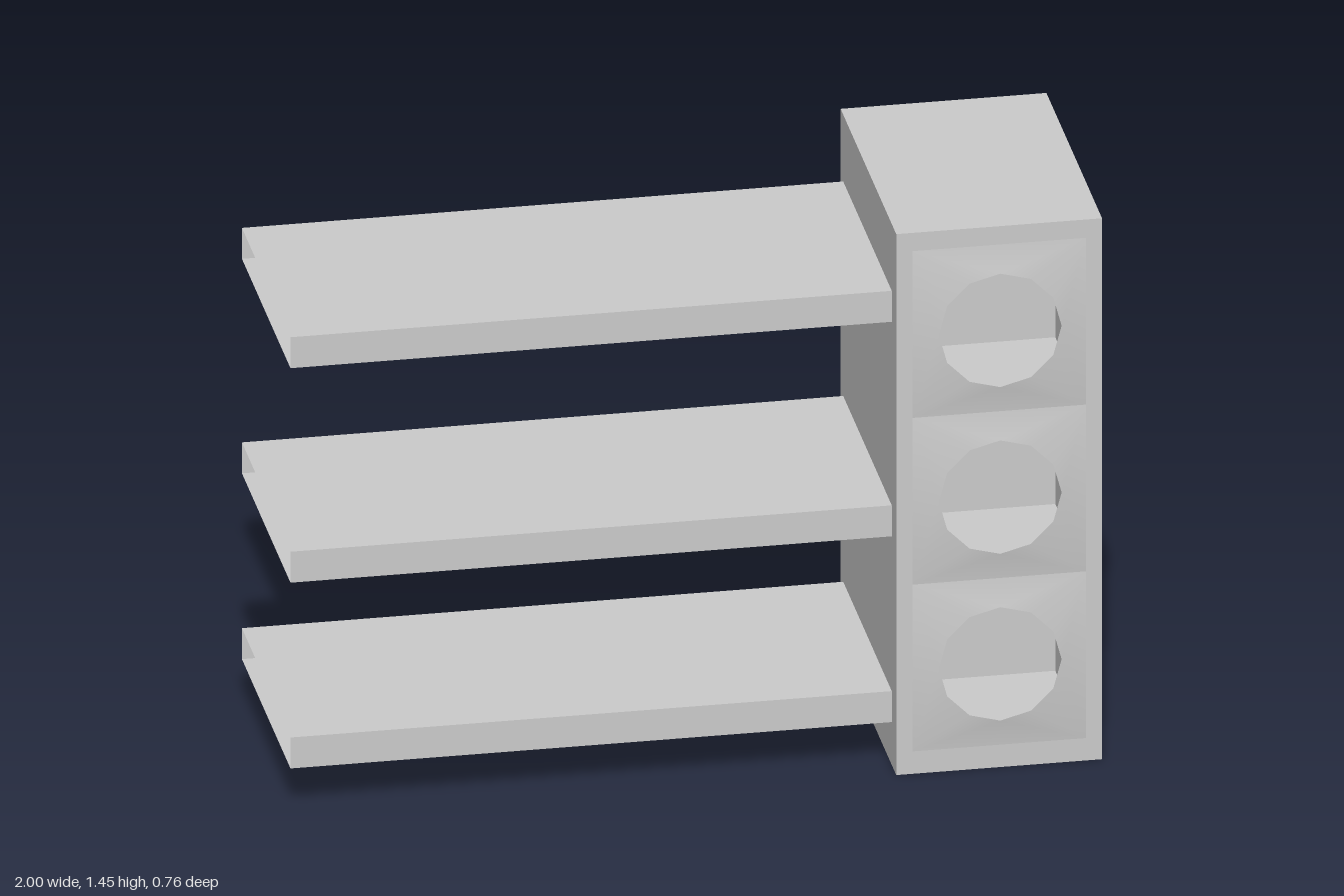
import * as THREE from 'three';

const grey = (side = THREE.FrontSide, flat = true) =>
  new THREE.MeshStandardMaterial({ color: 0xcccccc, side, flatShading: flat });

// Box given by its limits; openFace (0..5 = +x -x +y -y +z -z) is left out.
function boxBetween(name, [x0, y0, z0], [x1, y1, z1], side, openFace = -1) {
  const geo = new THREE.BoxGeometry(x1 - x0, y1 - y0, z1 - z0);
  if (openFace >= 0) {
    const kept = Array.from(geo.index.array).filter((_, i) => Math.floor(i / 6) !== openFace);
    geo.setIndex(kept);
    geo.clearGroups();
  }
  geo.translate((x0 + x1) / 2, (y0 + y1) / 2, (z0 + z1) / 2);
  const mesh = new THREE.Mesh(geo, grey(side));
  mesh.name = name;
  return mesh;
}

function rectPath(path, x0, y0, x1, y1) {
  path.moveTo(x0, y0);
  path.lineTo(x1, y0);
  path.lineTo(x1, y1);
  path.lineTo(x0, y1);
  path.closePath();
  return path;
}

// Raised surround running from a rectangle to a twelve-sided opening.
function surroundGeometry(halfW, halfH, radius, rise) {
  const points = [];
  for (const [sx, sy] of [[1, 1], [-1, 1], [-1, -1], [1, -1]]) points.push(sx * halfW, sy * halfH, 0);
  for (let i = 0; i < 12; i++) {
    const a = (i * Math.PI) / 6;
    points.push(radius * Math.cos(a), radius * Math.sin(a), rise);
  }
  const rim = (i) => 4 + (i % 12);
  const index = [];
  for (let c = 0; c < 4; c++) {
    // fan from each corner to its quarter of the opening
    for (let k = 0; k < 3; k++) index.push(c, rim(c * 3 + k + 1), rim(c * 3 + k));
    // triangle along the side to the next corner
    index.push(c, (c + 1) % 4, rim(c * 3 + 3));
  }
  const geo = new THREE.BufferGeometry();
  geo.setAttribute('position', new THREE.Float32BufferAttribute(points, 3));
  geo.setIndex(index);
  geo.computeVertexNormals();
  return geo;
}

export function createModel() {
  const model = new THREE.Group();
  const front = 0.365, back = -0.38, height = 1.45;
  const left = 0.53, right = 0.96, bottom = 0.06, pitch = 0.447;

  // Tower casing with one tall front opening, closed by a back panel
  const outline = rectPath(new THREE.Shape(), 0.49, 0, 1, height);
  outline.holes.push(rectPath(new THREE.Path(), left, bottom, right, bottom + 3 * pitch));
  const casingGeo = new THREE.ExtrudeGeometry(outline, { depth: front - back - 0.02, bevelEnabled: false });
  casingGeo.translate(0, 0, back + 0.02);
  const casing = new THREE.Mesh(casingGeo, grey());
  casing.name = 'towerCasing';
  model.add(casing);
  model.add(boxBetween('towerBack', [0.49, 0, back], [1, height, back + 0.02]));

  // Three round openings, each with a raised surround and a square cell behind
  const cx = (left + right) / 2;
  const surround = surroundGeometry((right - left) / 2, pitch / 2, 0.152, 0.015);
  for (let i = 0; i < 3; i++) {
    const cy = bottom + pitch * (i + 0.5);
    const ring = new THREE.Mesh(surround, grey(THREE.DoubleSide, false));
    ring.name = 'openingSurround';
    ring.position.set(cx, cy, front);
    model.add(ring);
    model.add(boxBetween('cell', [cx - 0.19, cy - 0.165, 0.09], [cx + 0.19, cy + 0.165, front], THREE.BackSide, 4));
  }

  // Three hollow shelves, open at the free end
  for (const y of [0.115, 0.613, 1.188]) {
    model.add(boxBetween('shelf', [-1, y, -0.345], [0.49, y + 0.083, 0.305], THREE.DoubleSide, 1));
  }
  return model;
}
